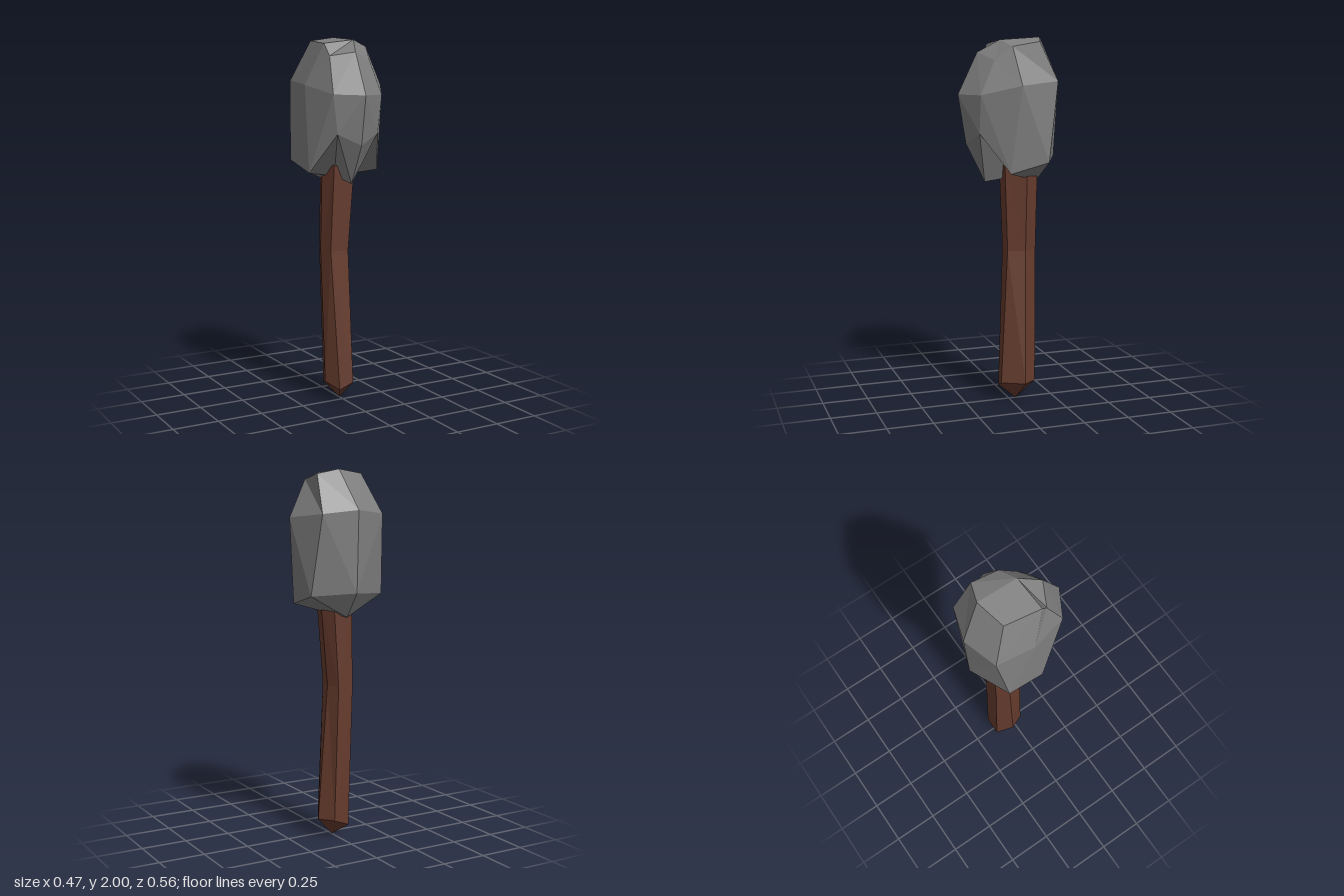
import * as THREE from 'three';

const stone = new THREE.MeshStandardMaterial({ color: 0x7e7e7e });
stone.name = 'grey stone';
const wood = new THREE.MeshStandardMaterial({ color: 0x663b2d });
wood.name = 'brown wood';

// Collects triangles, skipping those that collapse to a line
function addTriangle(out, a, b, c) {
  const tri = new THREE.Triangle(...[a, b, c].map((p) => new THREE.Vector3(...p)));
  if (tri.getArea() > 1e-6) out.push(...a, ...b, ...c);
}

// Skins closed rings listed bottom to top; each ring runs counterclockwise seen from above
function skinRings(out, rings) {
  for (let k = 0; k < rings.length - 1; k++) {
    const lo = rings[k], hi = rings[k + 1], n = lo.length;
    for (let i = 0; i < n; i++) {
      const j = (i + 1) % n;
      if (i < n / 2) { // mirrored diagonals on the two halves
        addTriangle(out, lo[i], lo[j], hi[i]);
        addTriangle(out, lo[j], hi[j], hi[i]);
      } else {
        addTriangle(out, lo[i], lo[j], hi[j]);
        addTriangle(out, lo[i], hi[j], hi[i]);
      }
    }
  }
}

function facetedMesh(name, positions, material) {
  const geometry = new THREE.BufferGeometry();
  geometry.setAttribute('position', new THREE.Float32BufferAttribute(positions, 3));
  geometry.computeVertexNormals();
  const mesh = new THREE.Mesh(geometry, material);
  mesh.name = name;
  return mesh;
}

// Chipped stone: rings start at the front and go round by the left side (+x)
function buildHead() {
  const under = [-0.02, 1.255, -0.06];
  const underFront = [-0.02, 1.23, 0.13], underBack = [-0.02, 1.225, -0.165];
  const bottom = [underFront, underFront, under, underBack, underBack, underBack, under, underFront];
  const lower = [
    [-0.02, 1.44, 0.235], [0.10, 1.5, 0.195], [0.185, 1.29, 0.05], [0.195, 1.345, -0.16],
    [-0.02, 1.36, -0.265], [-0.234, 1.345, -0.165], [-0.228, 1.29, 0.045], [-0.14, 1.5, 0.195],
  ];
  const middle = [
    [-0.02, 1.7, 0.277], [0.125, 1.7, 0.195], [0.232, 1.75, 0.003], [0.16, 1.77, -0.22],
    [-0.02, 1.79, -0.28], [-0.203, 1.77, -0.22], [-0.223, 1.75, -0.01], [-0.165, 1.705, 0.195],
  ];
  const f = [0.03, 1.985, 0.06], l = [0.128, 1.95, 0.022], bl = [0.138, 1.975, -0.125];
  const b = [0.03, 2, -0.163], br = [-0.128, 1.98, -0.125], r = [-0.153, 1.965, 0.073];
  const brow = [[-0.02, 1.92, 0.17], [0.098, 1.88, 0.11], l, bl, b, br, r, [-0.14, 1.9, 0.11]];
  const top = [f, l, l, bl, b, br, r, r];
  const out = [];
  skinRings(out, [bottom, lower, middle, brow, top]);
  // Crown, folded along its centre ridge
  addTriangle(out, f, l, bl);
  addTriangle(out, f, bl, b);
  addTriangle(out, f, b, br);
  addTriangle(out, f, br, r);
  return facetedMesh('stoneHead', out, stone);
}

// Bent six-sided branch with a blunt point, its upper end sunk into the stone
function buildHandle() {
  const section = (heights, points) => points.map(([x, z], i) => [x, heights[i % heights.length], z]);
  const rings = [
    section([0.005], Array(6).fill([0, -0.04])),
    section([0.075, 0.11], [[-0.045, 0.047], [0.035, 0.055], [0.085, -0.065], [0.04, -0.14], [-0.05, -0.135], [-0.09, -0.04]]),
    section([0.85], [[-0.08, 0.01], [0.025, 0.015], [0.05, -0.08], [0.02, -0.147], [-0.07, -0.142], [-0.1, -0.07]]),
    section([1.32], [[-0.07, 0.032], [0.05, 0.038], [0.09, -0.075], [0.05, -0.147], [-0.06, -0.145], [-0.1, -0.05]]),
    section([1.34], Array(6).fill([0, -0.06])),
  ];
  rings[1][2] = [0.1, 0.11, -0.065];
  const out = [];
  skinRings(out, rings);
  return facetedMesh('handle', out, wood);
}

export function createModel() {
  const model = new THREE.Group();
  model.name = 'stoneClub';
  model.add(buildHandle(), buildHead());
  return model;
}
